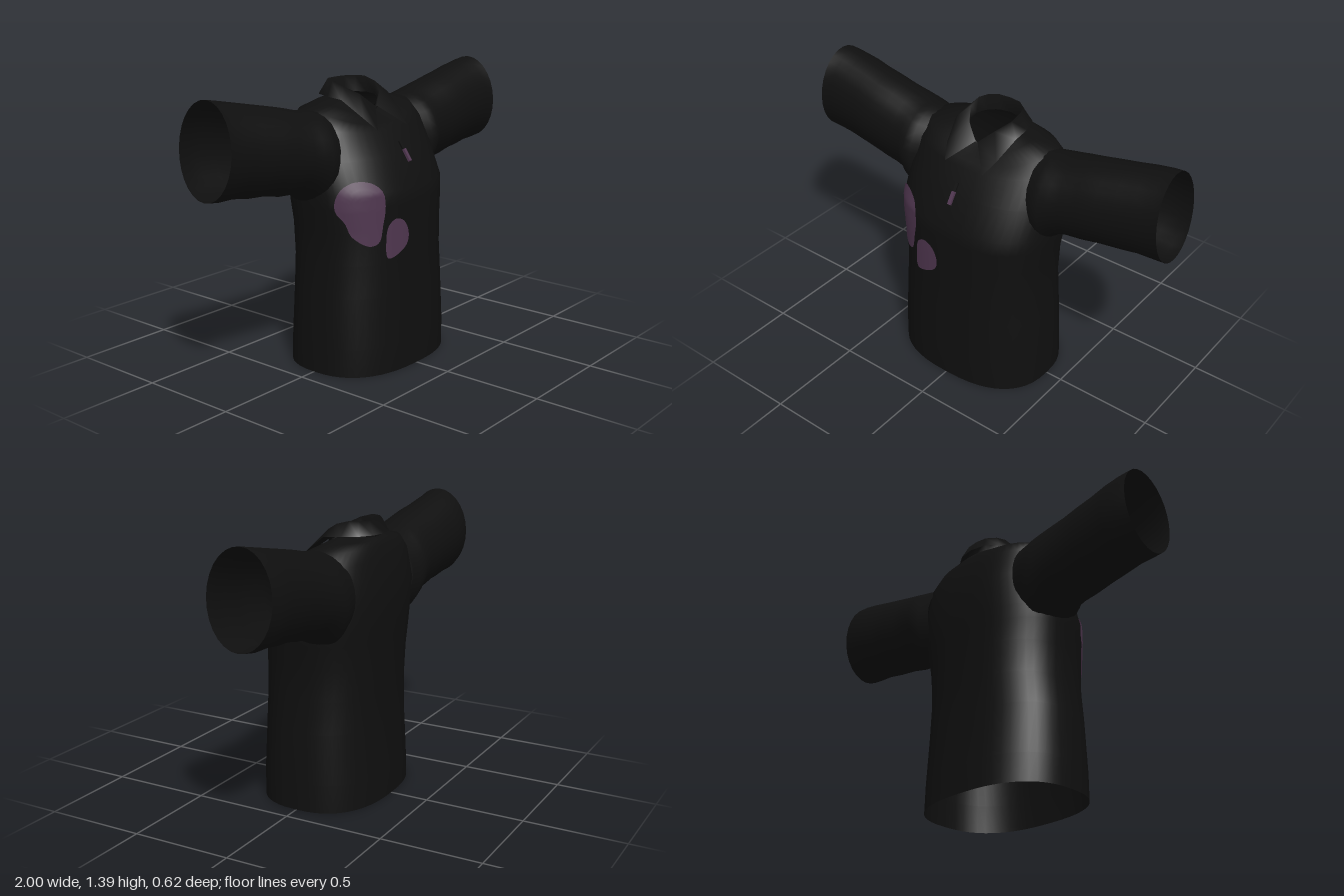
import * as THREE from 'three';

const fabric = new THREE.MeshStandardMaterial({ name: 'black fabric', color: 0x0f0f0f, side: THREE.DoubleSide });
const purple = new THREE.MeshStandardMaterial({ name: 'dull purple', color: 0x4f364f, side: THREE.DoubleSide });

// Skin a list of equal-length point rings
function loft(rings, closed, flip = false) {
  const n = rings[0].length, index = [];
  for (let i = 0; i < rings.length - 1; i++) {
    for (let j = 0; j < (closed ? n : n - 1); j++) {
      const k = (j + 1) % n;
      const a = i * n + j, b = i * n + k, c = a + n, d = b + n;
      if (flip) index.push(a, d, b, a, c, d);
      else index.push(a, b, d, a, d, c);
    }
  }
  const g = new THREE.BufferGeometry();
  g.setAttribute('position', new THREE.Float32BufferAttribute(rings.flat(2), 3));
  g.setIndex(index);
  g.computeVertexNormals();
  return g;
}

function part(group, name, geometry, material) {
  const mesh = new THREE.Mesh(geometry, material);
  mesh.name = name;
  group.add(mesh);
  return mesh;
}

// Torso rings: half width, front z, back z, centre z, height at front / side / back, squareness
const torsoKeys = [
  [0.412, 0.31, -0.305, 0, 0.01, 0.01, 0.01, 2.5],
  [0.41, 0.31, -0.3, 0, 0.15, 0.15, 0.15, 2.5],
  [0.4, 0.298, -0.285, 0, 0.4, 0.4, 0.4, 2.5],
  [0.386, 0.294, -0.288, 0, 0.56, 0.56, 0.56, 2.5],
  [0.392, 0.29, -0.294, 0, 0.72, 0.72, 0.72, 2.5],
  [0.408, 0.286, -0.3, -0.01, 0.83, 0.83, 0.83, 2.5],
  [0.412, 0.283, -0.304, -0.02, 0.9, 0.9, 0.9, 2.5],
  [0.41, 0.21, -0.31, -0.06, 1.05, 1.05, 1.07, 2.5],
  [0.395, 0.14, -0.275, -0.08, 1.16, 1.2, 1.21, 2.4],
  [0.34, 0.11, -0.255, -0.085, 1.185, 1.265, 1.265, 2.3],
  [0.22, 0.075, -0.238, -0.09, 1.21, 1.285, 1.29, 2.1],
  [0.125, 0.03, -0.215, -0.092, 1.24, 1.3, 1.3, 2],
];

function torsoRing([w, f, b, zc, yF, yS, yB, p]) {
  const ring = [], N = 48;
  for (let j = 0; j < N; j++) {
    const t = (j / N) * Math.PI * 2, s = Math.sin(t), c = Math.cos(t);
    const sx = Math.sign(s) * Math.abs(s) ** (2 / p), cz = Math.abs(c) ** (2 / p);
    const y = yS + ((c > 0 ? yF : yB) - yS) * c * c;
    ring.push([w * sx, y, zc + ((c > 0 ? f : b) - zc) * cz]);
  }
  return ring;
}

// Front surface of the chest at (x, y), slightly lifted
function chestZ(x, y) {
  let i = 0;
  while (y > torsoKeys[i + 1][4]) i++;
  const A = torsoKeys[i], B = torsoKeys[i + 1], u = (y - A[4]) / (B[4] - A[4]);
  const [w, f, , zc] = A.map((v, k) => v + (B[k] - v) * u);
  const r = Math.min(1, Math.abs(x) / (w + 0.006));
  return zc + (f + 0.006 - zc) * (1 - r ** 2.5) ** 0.4;
}

// Thin patch draped over the chest, from an outline curve
function patchGeometry(outline, cx, cy) {
  const curve = new THREE.CatmullRomCurve3(outline.map(([x, y]) => new THREE.Vector3(x, y, 0)), true);
  const pts = curve.getPoints(40).slice(0, 40), rings = [];
  for (let i = 0; i <= 8; i++) {
    const k = 1 - (i / 8) * 0.999;
    rings.push(pts.map(p => {
      const x = cx + (p.x - cx) * k, y = cy + (p.y - cy) * k;
      return [x, y, chestZ(x, y)];
    }));
  }
  return loft(rings, true);
}

// Sleeve rings: x, top y, bottom y, front z, back z
const sleeveKeys = [
  [0.3, 1.265, 0.85, 0.1, -0.26],
  [0.36, 1.275, 0.82, 0.125, -0.275],
  [0.4, 1.28, 0.85, 0.13, -0.282],
  [0.44, 1.285, 0.885, 0.112, -0.278],
  [0.5, 1.3, 0.9, 0.105, -0.27],
  [0.58, 1.318, 0.905, 0.095, -0.262],
  [0.67, 1.336, 0.925, 0.095, -0.265],
  [0.76, 1.354, 0.93, 0.08, -0.262],
  [0.85, 1.372, 0.945, 0.078, -0.268],
  [0.93, 1.388, 0.945, 0.07, -0.262],
  [0.985, 1.398, 0.954, 0.075, -0.252],
];

function sleeveGeometry(side) {
  const N = 28;
  const rings = sleeveKeys.map(([x, top, bot, zf, zb], i) => {
    const ring = [], tilt = 0.015 * i / (sleeveKeys.length - 1);
    for (let j = 0; j < N; j++) {
      const t = (j / N) * Math.PI * 2, c = Math.cos(t);
      ring.push([side * (x - tilt * c), (top + bot) / 2 + (top - bot) / 2 * c,
        (zf + zb) / 2 + (zf - zb) / 2 * Math.sin(t)]);
    }
    return ring;
  });
  return loft(rings, true, side < 0);
}

// Collar sections from front to centre back: inner edge, fold, outer edge
const collarHalf = [
  [[0, 1.235, 0.032], [0.006, 1.262, 0.05], [0.11, 1.168, 0.152]],
  [[0.07, 1.27, 0.005], [0.075, 1.325, 0.01], [0.145, 1.225, 0.09]],
  [[0.118, 1.295, -0.05], [0.12, 1.362, -0.06], [0.176, 1.305, -0.02]],
  [[0.124, 1.3, -0.11], [0.122, 1.38, -0.125], [0.172, 1.312, -0.11]],
  [[0.105, 1.3, -0.165], [0.105, 1.38, -0.17], [0.145, 1.315, -0.19]],
  [[0.06, 1.3, -0.202], [0.06, 1.38, -0.205], [0.08, 1.315, -0.235]],
  [[0, 1.3, -0.215], [0, 1.38, -0.212], [0, 1.315, -0.25]],
];

export function createModel() {
  const shirt = new THREE.Group();
  shirt.name = 'shirt';

  part(shirt, 'torso', loft(torsoKeys.map(torsoRing), true), fabric);
  part(shirt, 'leftSleeve', sleeveGeometry(1), fabric);
  part(shirt, 'rightSleeve', sleeveGeometry(-1), fabric);

  // Folded collar, mirrored about the centre back
  const mirrored = collarHalf.slice(0, -1).reverse().map(s => s.map(([x, y, z]) => [-x, y, z]));
  part(shirt, 'collar', loft([...collarHalf, ...mirrored], false), fabric);

  // Chest patches, outlined anticlockwise
  part(shirt, 'largePatch', patchGeometry([
    [-0.28, 0.655], [-0.235, 0.67], [-0.215, 0.75], [-0.2, 0.84], [-0.215, 0.92], [-0.26, 0.955],
    [-0.33, 0.96], [-0.38, 0.92], [-0.392, 0.83], [-0.365, 0.77], [-0.34, 0.7],
  ], -0.29, 0.82), purple);
  part(shirt, 'smallPatch', patchGeometry([
    [-0.19, 0.585], [-0.12, 0.6], [-0.065, 0.64], [-0.055, 0.69], [-0.085, 0.75],
    [-0.14, 0.77], [-0.185, 0.74], [-0.2, 0.66],
  ], -0.13, 0.68), purple);

  // Zip pull hanging from a small tab
  const pull = part(shirt, 'zipPull', new THREE.BoxGeometry(0.018, 0.065, 0.012), purple);
  pull.position.set(0, 1.047, 0.24);
  pull.rotation.x = -0.6;
  const tab = part(shirt, 'zipTab', new THREE.BoxGeometry(0.014, 0.04, 0.008), fabric);
  tab.position.set(0, 1.092, 0.205);
  tab.rotation.x = -0.6;

  return shirt;
}
